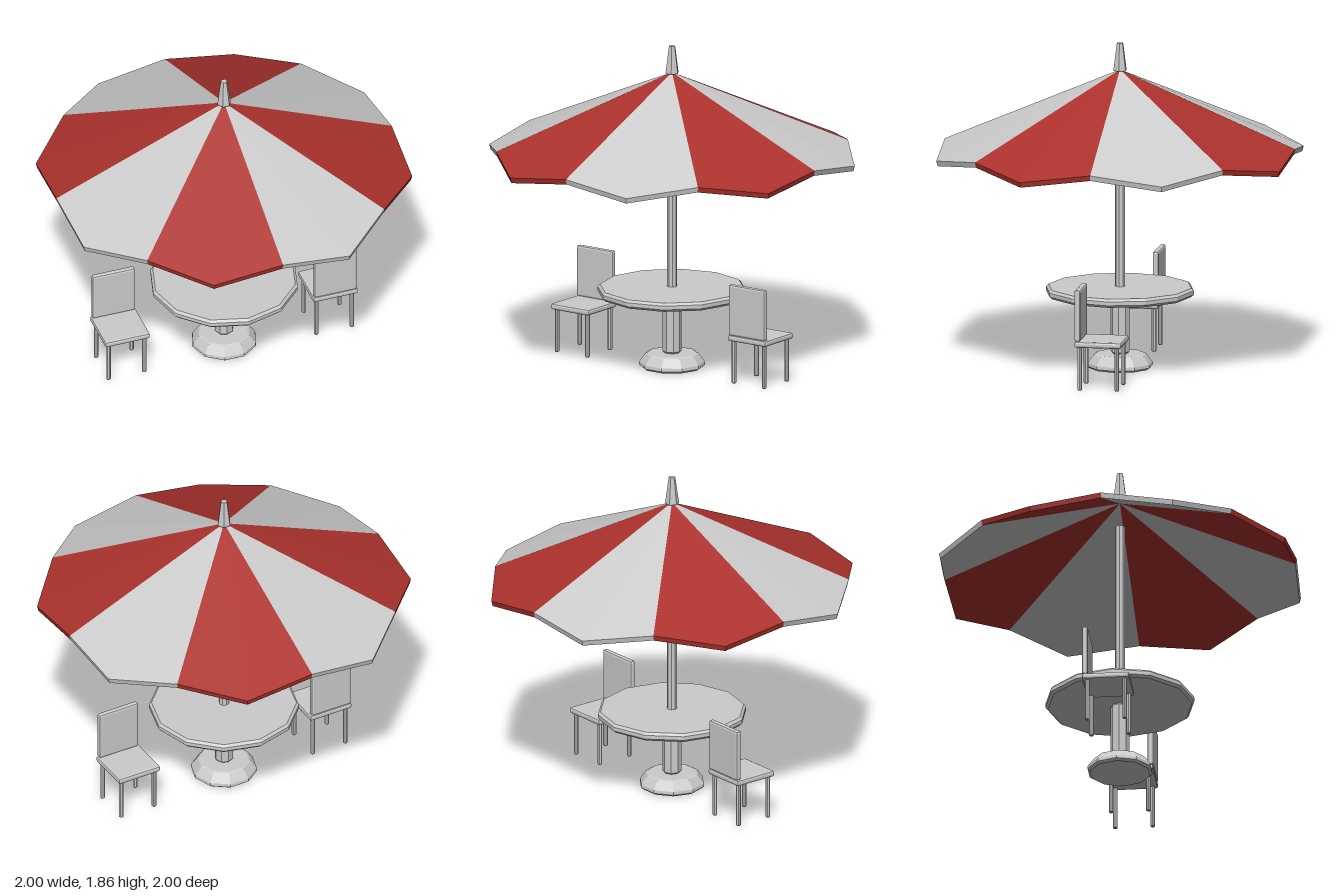
import * as THREE from 'three';
import { RoundedBoxGeometry } from 'three/addons/geometries/RoundedBoxGeometry.js';

const grey = new THREE.MeshStandardMaterial({ color: 0xcccccc, flatShading: true });
const red = new THREE.MeshStandardMaterial({ color: 0xac322d, flatShading: true });

function add(parent, name, geometry, material = grey, x = 0, y = 0, z = 0) {
  const mesh = new THREE.Mesh(geometry, material);
  mesh.name = name;
  mesh.position.set(x, y, z);
  parent.add(mesh);
  return mesh;
}

// Faceted turned part from [radius, height] pairs, bottom to top
function turned(profile, sides) {
  const g = new THREE.LatheGeometry(profile.map(([r, y]) => new THREE.Vector2(r, y)), sides);
  return g.rotateY(Math.PI / 2);
}

// Turned cylinder with chamfered ends
function chamferedCylinder(r, y0, y1, c, sides) {
  return turned([[0, y0], [r - c, y0], [r, y0 + c], [r, y1 - c], [r - c, y1], [0, y1]], sides);
}

// One flat canopy panel with a pointed hem, from angle a to a + 45 degrees
function canopyPanel(a) {
  const step = Math.PI / 8;
  const point = (angle, r, y) => [r * Math.sin(angle), y, r * Math.cos(angle)];
  const top = [
    [0, 1.705, 0],
    point(a, 1, 1.28),
    point(a + step, 1.06, 1.225),
    point(a + 2 * step, 1, 1.28),
  ];
  const low = top.map(([x, y, z]) => [x * 0.993, y - 0.03, z * 0.993]);
  const positions = [];
  const tri = (...corners) => corners.forEach((p) => positions.push(...p));
  for (const i of [1, 2]) {
    tri(top[0], top[i], top[i + 1]);
    tri(low[0], low[i + 1], low[i]);
    tri(low[i], low[i + 1], top[i + 1]);
    tri(low[i], top[i + 1], top[i]);
  }
  const g = new THREE.BufferGeometry();
  g.setAttribute('position', new THREE.Float32BufferAttribute(positions, 3));
  g.computeVertexNormals();
  return g;
}

// Chair with its backrest on the +z edge
function createChair(name) {
  const chair = new THREE.Group();
  chair.name = name;
  add(chair, 'seat', new RoundedBoxGeometry(0.268, 0.035, 0.268, 1, 0.012), grey, 0, 0.263, 0);
  add(chair, 'backrest', new RoundedBoxGeometry(0.254, 0.295, 0.034, 1, 0.012), grey, 0, 0.426, 0.118);
  for (const x of [-1, 1]) {
    for (const z of [-1, 1]) {
      add(chair, 'chairLeg', chamferedCylinder(0.0135, 0, 0.255, 0.004, 8), grey, x * 0.106, 0, z * 0.106);
    }
  }
  return chair;
}

export function createModel() {
  const model = new THREE.Group();
  model.name = 'parasolTable';

  // Table
  add(model, 'base', turned([
    [0, 0], [0.172, 0], [0.187, 0.012], [0.185, 0.03], [0.15, 0.077], [0.137, 0.083], [0, 0.083],
  ], 10));
  add(model, 'column', chamferedCylinder(0.053, 0.08, 0.42, 0.012, 8));
  add(model, 'tableTop', chamferedCylinder(0.422, 0.416, 0.466, 0.014, 12));

  // Parasol
  add(model, 'pole', chamferedCylinder(0.028, 0.4, 1.53, 0.003, 8));
  const canopy = new THREE.Group();
  canopy.name = 'canopy';
  for (let i = 0; i < 8; i++) {
    add(canopy, 'canopyPanel', canopyPanel((i * Math.PI) / 4), i % 2 ? red : grey);
  }
  model.add(canopy);
  add(model, 'finial', turned([[0, 1.7], [0.039, 1.7], [0.039, 1.708], [0.019, 1.857], [0, 1.857]], 6));

  // Two chairs, each turned half round from the other
  const leftChair = createChair('leftChair');
  leftChair.position.x = 0.62;
  const rightChair = createChair('rightChair');
  rightChair.position.x = -0.62;
  rightChair.rotation.y = Math.PI;
  model.add(leftChair, rightChair);

  return model;
}
